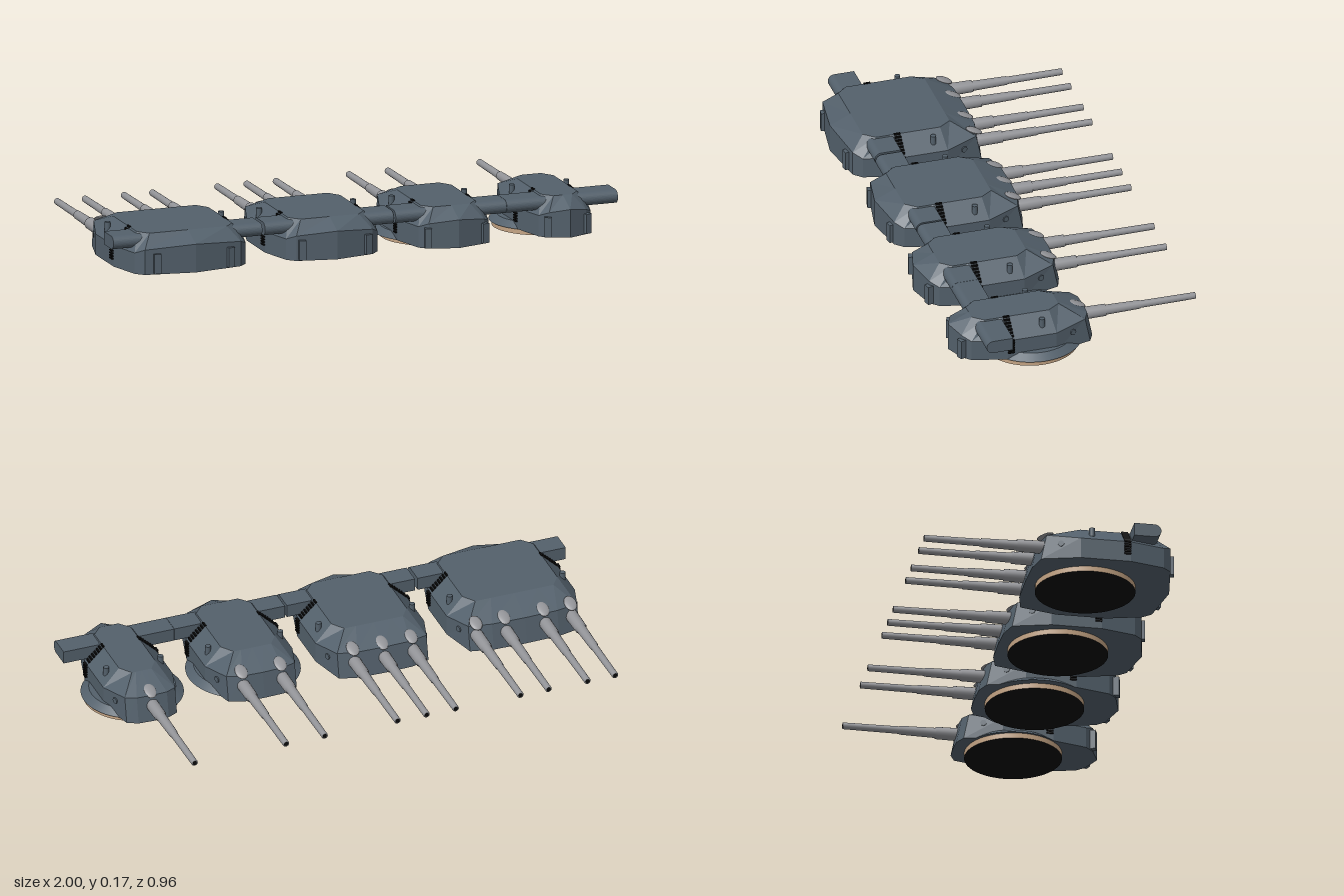
import * as THREE from 'three';

const mat = (name, color, extra = {}) => Object.assign(new THREE.MeshStandardMaterial({ color, ...extra }), { name });

// Four turrets: centre x, half width, rangefinder half length, gun offsets, rear post offset, deck flange radius
const TURRETS = [
  { name: 'quadTurret', x: -0.705, w: 0.255, a: 0.295, guns: [-0.19, -0.08, 0.075, 0.187], post: 0.145, base: 0.187 },
  { name: 'tripleTurret', x: -0.144, w: 0.216, a: 0.255, guns: [-0.116, 0, 0.116], post: 0.13, base: 0.187 },
  { name: 'twinTurret', x: 0.339, w: 0.174, a: 0.22, guns: [-0.077, 0.077], post: 0.112, base: 0.185, flange: 0.215 },
  { name: 'singleTurret', x: 0.78, w: 0.138, a: 0.22, guns: [0], post: 0.077, base: 0.182, flange: 0.192 },
];
const BASE_Z = 0.163;

// Faceted armour shell lofted through bottom, knuckle and roof outlines
function shellGeometry(w) {
  const r = w - 0.066, c = w - 0.038, f = r - 0.033;
  const knuckleY = [0.12, 0.12, 0.118, 0.1, 0.1, 0.1, 0.115, 0.128];
  const outline = [[0, -0.045], [c * 0.6, -0.042], [c, -0.022], [w, 0.1], [w, 0.29], [w - 0.035, 0.42], [w - 0.065, 0.45], [0, 0.48]];
  const roof = [[0, 0.063], [f * 0.6, 0.063], [f, 0.063], [r, 0.11], [r, 0.3], [r, 0.36], [r - 0.035, 0.4], [0, 0.4]];
  const halves = [
    outline.map(([x, z], i) => [x, 0.02, i < 3 ? z - 0.02 : z]),
    outline.map(([x, z], i) => [x, knuckleY[i], z]),
    roof.map(([x, z]) => [x, 0.165, z]),
  ];
  const rings = halves.map(h => [...h, ...h.slice(1, -1).reverse().map(([x, y, z]) => [-x, y, z])]);
  const n = rings[0].length, pos = [];
  const tri = (...p) => p.forEach(v => pos.push(...v));
  for (let i = 0; i < n; i++) {
    const j = (i + 1) % n;
    for (let k = 0; k < 2; k++) {
      const lo = rings[k], hi = rings[k + 1];
      tri(lo[i], hi[i], lo[j]);
      tri(hi[i], hi[j], lo[j]);
    }
    tri([0, 0.165, 0.2], rings[2][j], rings[2][i]);
    tri([0, 0.02, 0.2], rings[0][i], rings[0][j]);
  }
  const g = new THREE.BufferGeometry();
  g.setAttribute('position', new THREE.Float32BufferAttribute(pos, 3));
  g.computeVertexNormals();
  return g;
}

// Rangefinder: flat at the front, rounded toward the rear
function rangefinderGeometry(a) {
  const s = new THREE.Shape();
  s.moveTo(0.295, 0.11);
  s.lineTo(0.372, 0.11);
  s.absarc(0.372, 0.135, 0.025, -Math.PI / 2, Math.PI / 2, false);
  s.lineTo(0.295, 0.16);
  s.closePath();
  const g = new THREE.ExtrudeGeometry(s, { depth: 2 * a, bevelEnabled: false, curveSegments: 8 });
  return g.rotateY(-Math.PI / 2).translate(a, 0, 0);
}

// Stepped barrel along -z, with a hollow-looking flat muzzle
function barrelGeometry() {
  const profile = [[0, 0], [0.026, 0], [0.024, 0.09], [0.023, 0.17], [0.019, 0.171], [0.0165, 0.305], [0.014, 0.306], [0.0125, 0.52], [0, 0.52]];
  const parts = new THREE.LatheGeometry(profile.map(([x, y]) => new THREE.Vector2(x, y)), 16);
  return parts.rotateX(-Math.PI / 2).translate(0, 0.08, 0.04);
}

export function createModel() {
  const armour = mat('armourBlueGrey', 0x53606b, { });
  const steel = mat('barrelGrey', 0x939498);
  const wood = mat('ringTan', 0xc4a484);
  const black = mat('black', 0x0a0a0a);
  const model = new THREE.Group();
  const barrel = barrelGeometry();

  for (const t of TURRETS) {
    const g = new THREE.Group();
    g.name = t.name;
    g.position.x = t.x;
    model.add(g);
    const add = (name, geo, m, x = 0, y = 0, z = 0) => {
      const mesh = new THREE.Mesh(geo, m);
      mesh.name = name;
      mesh.position.set(x, y, z);
      g.add(mesh);
      return mesh;
    };
    const { w } = t, r = w - 0.066;

    add('armourShell', shellGeometry(w), armour);
    add('rangefinder', rangefinderGeometry(t.a), armour);

    // Turntable ring with a black underside
    add('baseRing', new THREE.CylinderGeometry(t.base, t.base, 0.021, 48), [wood, wood, black], 0, 0.0105, BASE_Z);
    if (t.flange) add('deckFlange', new THREE.CylinderGeometry(t.flange - 0.03, t.flange, 0.022, 48), armour, 0, 0.031, BASE_Z - 0.004);

    // Guns and the sleeves showing through the sloped front roof
    for (const x of t.guns) {
      add('gunBarrel', barrel, steel, x);
      const sleeve = add('gunSleeve', new THREE.SphereGeometry(1, 16, 10), steel, x, 0.126, -0.022);
      sleeve.scale.set(0.024, 0.008, 0.034);
      sleeve.rotation.x = -0.4;
      add('muzzleBore', new THREE.CircleGeometry(0.008, 12).rotateY(Math.PI), black, x, 0.08, -0.481);
    }

    for (const s of [-1, 1]) {
      // Ladder rungs up the side wall and over the sloped upper armour
      for (let i = 0; i < 6; i++)
        add('ladderRung', new THREE.BoxGeometry(0.01, 0.005, 0.025), black, s * (w + 0.003), 0.05 + i * 0.01, 0.277);
      for (let i = 1; i <= 7; i++) {
        const k = i / 7;
        add('ladderRung', new THREE.BoxGeometry(0.007, 0.007, 0.025), black, s * (w + (r - w) * k), 0.103 + 0.062 * k, 0.277);
      }
      // Periscope, side hatch and rear post
      add('periscope', new THREE.CylinderGeometry(0.011, 0.011, 0.035, 10), armour, s * (w - 0.03), 0.138, 0.148);
      const hatch = add('sideHatch', new THREE.CylinderGeometry(0.012, 0.012, 0.008, 8).rotateZ(Math.PI / 2), armour, s * (w - 0.021), 0.08, 0.03);
      hatch.rotation.y = s * 0.3;
      const slope = 0.03 / (w - 0.065);
      const post = add('rearPost', new THREE.BoxGeometry(0.026, 0.075, 0.024), armour, s * t.post, 0.062, 0.482 - slope * t.post);
      post.rotation.y = s * Math.atan(slope);
    }
  }
  return model;
}
